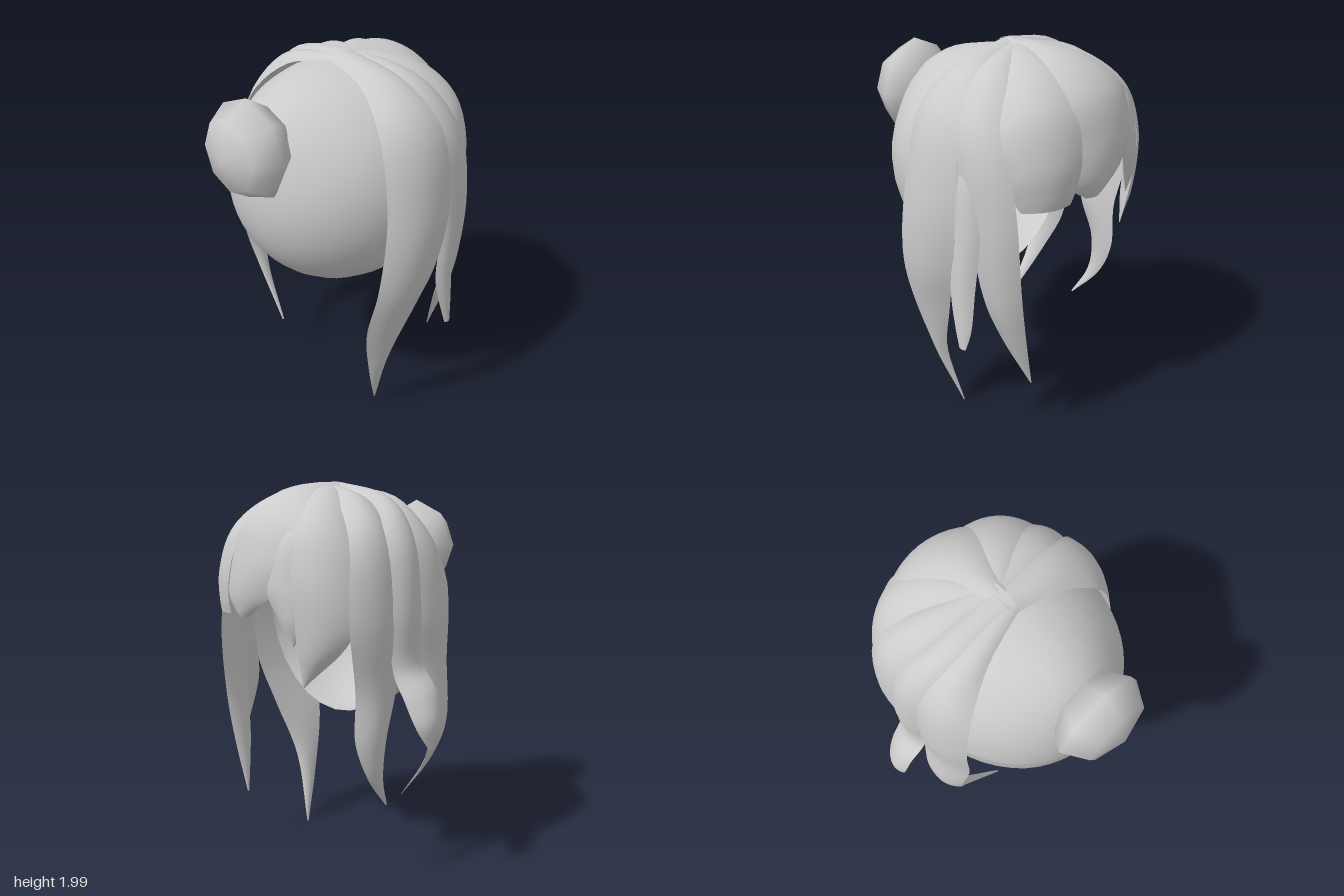
import * as THREE from 'three';

const material = new THREE.MeshStandardMaterial({ color: 0xcccccc, side: THREE.DoubleSide });
const HEAD = new THREE.Vector3(0.06, 1.37, -0.05);

// A lock is a curved lens-section blade hung between two edge curves.
// Each row: [edge A x, y, z, edge B x, y, z], from crown to tip.
function lock(name, rows) {
  const ROWS = 36, COLS = 10;
  const curveOf = k => new THREE.CatmullRomCurve3(
    rows.map(r => new THREE.Vector3(r[k], r[k + 1], r[k + 2])), false, 'centripetal');
  let a = curveOf(0), b = curveOf(3);

  // Swap the edges where needed so that the outer sheet faces away from the head
  const outAt = p => new THREE.Vector3(p.x - HEAD.x, p.y - Math.min(p.y, HEAD.y), p.z - HEAD.z);
  const pa = a.getPoint(0.4), pb = b.getPoint(0.4);
  const facing = pb.clone().sub(pa).cross(a.getTangent(0.4));
  if (facing.dot(outAt(pa.clone().lerp(pb, 0.5))) > 0) [a, b] = [b, a];

  const pos = [], index = [];
  for (const sheet of [1, -1]) {
    const base = pos.length / 3;
    for (let i = 0; i <= ROWS; i++) {
      const A = a.getPoint(i / ROWS), B = b.getPoint(i / ROWS);
      const chord = B.clone().sub(A), half = chord.length() / 2;
      const out = outAt(A.clone().lerp(B, 0.5));
      chord.normalize();
      out.addScaledVector(chord, -out.dot(chord)).normalize();
      const bow = half * half / 1.2 + sheet * Math.min(0.025, half * 0.3);
      for (let j = 0; j <= COLS; j++) {
        const u = j / COLS * 2 - 1;
        const p = A.clone().lerp(B, j / COLS).addScaledVector(out, bow * (1 - u * u));
        pos.push(p.x, Math.min(p.y, 2), p.z);
      }
    }
    for (let i = 0; i < ROWS; i++) for (let j = 0; j < COLS; j++) {
      const p = base + i * (COLS + 1) + j, q = p + COLS + 1;
      if (sheet > 0) index.push(p, q, p + 1, p + 1, q, q + 1);
      else index.push(p, p + 1, q, p + 1, q + 1, q);
    }
  }
  const g = new THREE.BufferGeometry();
  g.setAttribute('position', new THREE.Float32BufferAttribute(pos, 3));
  g.setIndex(index);
  g.computeVertexNormals();
  const mesh = new THREE.Mesh(g, material);
  mesh.name = name;
  return mesh;
}

// Open half-shell over the back of the head, fuller towards the upper back
function skullCap() {
  const g = new THREE.SphereGeometry(1, 28, 14, 0, Math.PI * 2, 0, Math.PI * 0.53);
  g.rotateX(Math.PI / 2);
  const p = g.attributes.position;
  for (let i = 0; i < p.count; i++) {
    const y = p.getY(i);
    const d = Math.max(0, (y + p.getZ(i)) / Math.SQRT2);
    const s = 1 + 0.09 * d ** 10;
    p.setXYZ(i, p.getX(i) * 0.55, y * (y > 0 ? 0.58 : 0.597) * s, p.getZ(i) * 0.6 * s);
  }
  g.computeVertexNormals();
  const mesh = new THREE.Mesh(g, material);
  mesh.name = 'skullCap';
  mesh.position.copy(HEAD);
  return mesh;
}

// Low-poly flattened bun
function bun() {
  const g = new THREE.SphereGeometry(1, 8, 4);
  g.rotateX(Math.PI / 2);
  g.scale(0.255, 0.255, 0.17);
  const mesh = new THREE.Mesh(g, material);
  mesh.name = 'bun';
  mesh.position.set(0.06, 1.655, 0.537);
  return mesh;
}

export function createModel() {
  const group = new THREE.Group();
  group.name = 'hair';
  group.add(skullCap(), bun());

  // Side locks on +x
  group.add(lock('leftRearLock', [
    [0.03, 1.955, 0, 0.02, 1.985, -0.13],
    [0.3, 1.9, 0.05, 0.4, 1.91, -0.15],
    [0.5, 1.73, 0.12, 0.6, 1.72, -0.2],
    [0.6, 1.35, 0.15, 0.67, 1.35, -0.22],
    [0.6, 0.95, 0.19, 0.65, 1.0, -0.18],
    [0.53, 0.65, 0.19, 0.59, 0.72, -0.1],
    [0.46, 0.3, 0.09, 0.51, 0.4, -0.01],
    [0.4, 0.01, -0.02, 0.4, 0.01, -0.03]]));
  group.add(lock('leftShortLock', [
    [0.58, 1.6, -0.2, 0.58, 1.58, -0.26],
    [0.63, 1.42, -0.2, 0.61, 1.4, -0.31],
    [0.65, 1.2, -0.2, 0.63, 1.2, -0.33],
    [0.66, 0.9, -0.17, 0.65, 0.9, -0.31],
    [0.68, 0.7, -0.21, 0.67, 0.7, -0.3],
    [0.69, 0.6, -0.24, 0.69, 0.6, -0.28]]));
  group.add(lock('leftFrontLock', [
    [0.02, 1.98, -0.08, 0.02, 1.98, -0.16],
    [0.4, 1.89, -0.11, 0.36, 1.87, -0.32],
    [0.58, 1.69, -0.15, 0.53, 1.64, -0.42],
    [0.62, 1.3, -0.25, 0.56, 1.3, -0.49],
    [0.58, 0.85, -0.31, 0.53, 0.9, -0.5],
    [0.5, 0.6, -0.36, 0.47, 0.6, -0.49],
    [0.39, 0.31, -0.46, 0.39, 0.31, -0.47]]));

  // Side locks on -x
  group.add(lock('rightRearLock', [
    [0.07, 1.955, 0, 0.07, 1.985, -0.08],
    [-0.2, 1.89, 0.08, -0.3, 1.9, -0.04],
    [-0.4, 1.68, 0.17, -0.48, 1.7, -0.1],
    [-0.47, 1.4, 0.2, -0.53, 1.35, -0.11],
    [-0.47, 1.1, 0.2, -0.52, 1.1, -0.1],
    [-0.51, 0.8, 0.16, -0.56, 0.8, -0.04],
    [-0.45, 0.6, 0.13, -0.47, 0.58, 0.04],
    [-0.22, 0.3, 0.14, -0.22, 0.3, 0.13]]));
  group.add(lock('rightCurledLock', [
    [0.07, 1.985, -0.03, 0.07, 1.98, -0.15],
    [-0.3, 1.9, -0.03, -0.3, 1.89, -0.18],
    [-0.48, 1.7, -0.06, -0.47, 1.7, -0.26],
    [-0.54, 1.35, -0.08, -0.53, 1.4, -0.28],
    [-0.54, 1.12, -0.07, -0.53, 1.1, -0.27],
    [-0.64, 1.0, -0.08, -0.61, 0.96, -0.27],
    [-0.69, 0.86, -0.1, -0.67, 0.83, -0.25],
    [-0.69, 0.72, -0.16, -0.69, 0.72, -0.18]]));
  group.add(lock('rightFrontLock', [
    [0.07, 1.985, -0.1, 0.07, 1.98, -0.18],
    [-0.28, 1.89, -0.17, -0.23, 1.88, -0.34],
    [-0.46, 1.7, -0.22, -0.42, 1.7, -0.45],
    [-0.51, 1.35, -0.18, -0.47, 1.35, -0.5],
    [-0.49, 1.0, -0.2, -0.45, 1.0, -0.44],
    [-0.5, 0.75, -0.28, -0.45, 0.75, -0.44],
    [-0.48, 0.55, -0.28, -0.46, 0.55, -0.36],
    [-0.43, 0.38, -0.2, -0.43, 0.38, -0.21]]));

  // Fringe over the face; neighbouring pieces overlap
  group.add(lock('rightFringe', [
    [0.04, 1.98, -0.11, 0.08, 1.98, -0.15],
    [-0.2, 1.9, -0.27, -0.07, 1.91, -0.44],
    [-0.38, 1.72, -0.4, -0.2, 1.77, -0.59],
    [-0.46, 1.5, -0.44, -0.24, 1.56, -0.65],
    [-0.46, 1.27, -0.47, -0.25, 1.3, -0.64],
    [-0.25, 1.02, -0.585, -0.245, 1.02, -0.59]]));
  group.add(lock('rightFringeTooth', [
    [-0.2, 1.85, -0.42, -0.05, 1.88, -0.47],
    [-0.3, 1.7, -0.54, -0.1, 1.72, -0.63],
    [-0.32, 1.5, -0.59, -0.07, 1.5, -0.67],
    [-0.29, 1.33, -0.61, -0.14, 1.34, -0.65],
    [-0.22, 1.22, -0.62, -0.21, 1.22, -0.63]]));
  group.add(lock('middleFringe', [
    [0.01, 1.985, -0.08, 0.08, 1.985, -0.08],
    [-0.14, 1.915, -0.4, 0.21, 1.915, -0.4],
    [-0.25, 1.77, -0.55, 0.28, 1.77, -0.55],
    [-0.24, 1.6, -0.62, 0.3, 1.58, -0.6],
    [-0.08, 1.44, -0.66, 0.31, 1.42, -0.61],
    [0.1, 1.33, -0.65, 0.2, 1.33, -0.63]]));
  group.add(lock('leftFringe', [
    [0.03, 1.985, -0.12, 0.06, 1.98, -0.08],
    [0.15, 1.91, -0.42, 0.38, 1.87, -0.24],
    [0.23, 1.76, -0.58, 0.53, 1.71, -0.37],
    [0.26, 1.55, -0.64, 0.56, 1.5, -0.44],
    [0.29, 1.4, -0.63, 0.54, 1.38, -0.46],
    [0.3, 1.33, -0.61, 0.52, 1.33, -0.48]]));

  return group;
}
